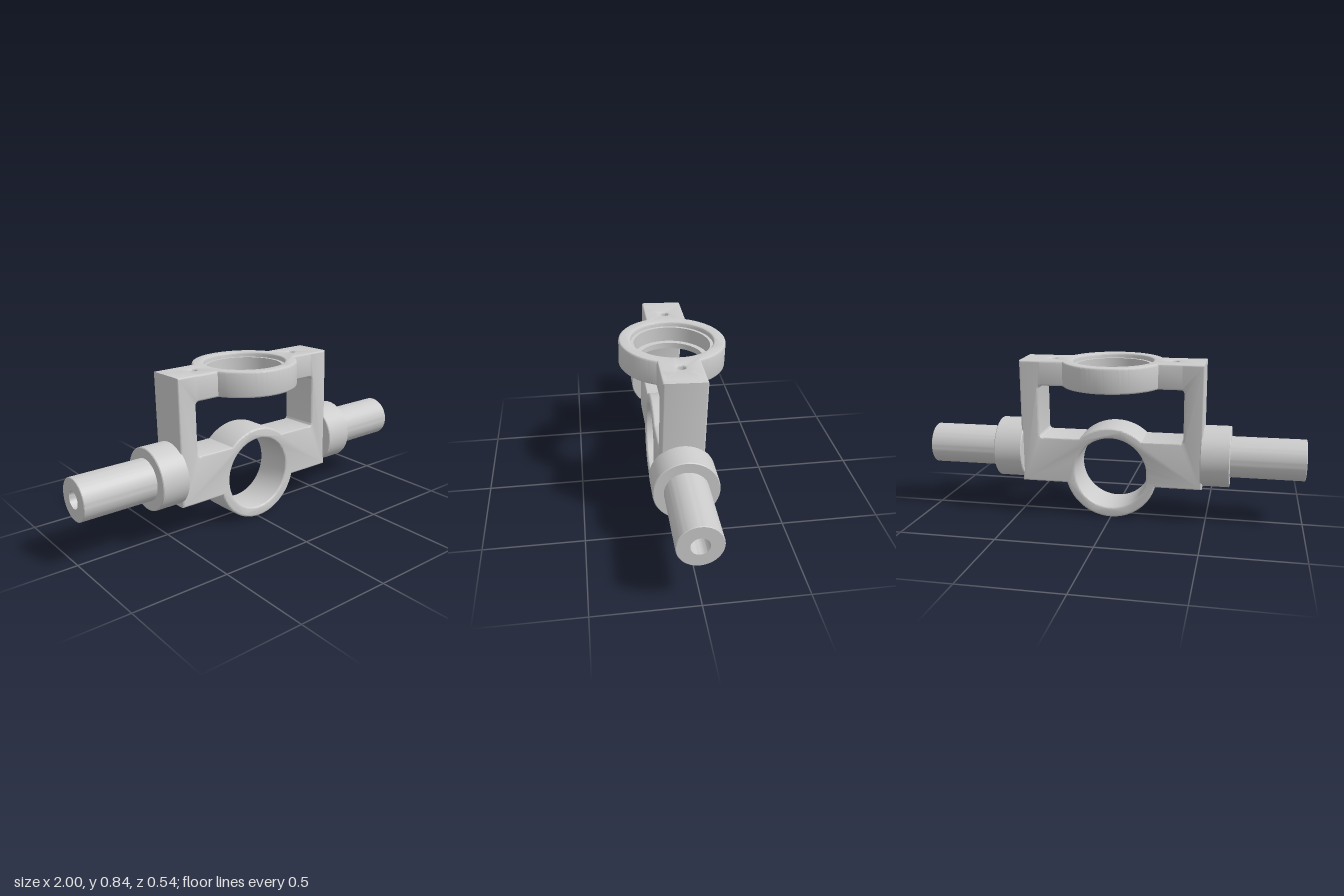
import * as THREE from 'three';
import { toCreasedNormals } from 'three/addons/utils/BufferGeometryUtils.js';

const BEVEL = 0.01;
const TOP = 0.494, BAR_BOTTOM = 0.363;   // heights are measured from the shaft axis
const HALF_DEPTH = 0.106;

export function createModel() {
  const model = new THREE.Group();
  model.name = 'trunnionYoke';
  const body = new THREE.Group();
  body.name = 'body';
  body.position.set(0, 0.345, 0.015);
  body.rotation.x = -0.03;               // the whole yoke leans slightly back
  model.add(body);

  const material = new THREE.MeshStandardMaterial({ color: 0xcccccc });
  const add = (name, geometry) => {
    const mesh = new THREE.Mesh(toCreasedNormals(geometry, 0.6), material);
    mesh.name = name;
    body.add(mesh);
    return mesh;
  };
  const circle = (x, y, r) => new THREE.Path().absarc(x, y, r, 0, Math.PI * 2, true);
  const lathe = (points) =>
    new THREE.LatheGeometry(points.map(([r, y]) => new THREE.Vector2(r, y)), 72);
  // Extrusion with softened edges, centred on its depth
  const slab = (shape, depth) => new THREE.ExtrudeGeometry(shape, {
    depth: depth - 2 * BEVEL, bevelThickness: BEVEL, bevelSize: BEVEL,
    bevelOffset: 0, bevelSegments: 3, curveSegments: 48,
    ...{ bevelOffset: -BEVEL },
  }).translate(0, 0, BEVEL - depth / 2);

  // Lower bar with its ring, and the two uprights
  const cy = -0.095, R = 0.245, low = -0.16, high = 0.085;
  const aLow = Math.asin((cy - low) / R), aHigh = Math.asin((high - cy) / R);
  const frame = new THREE.Shape();
  frame.moveTo(0.48, low);
  frame.lineTo(0.48, TOP);
  frame.lineTo(0.36, TOP);
  frame.lineTo(0.36, BAR_BOTTOM);
  frame.quadraticCurveTo(0.38, BAR_BOTTOM, 0.38, BAR_BOTTOM - 0.02);
  frame.lineTo(0.38, high + 0.02);
  frame.quadraticCurveTo(0.38, high, 0.36, high);
  frame.absarc(0, cy, R, aHigh, Math.PI - aHigh, false);
  frame.lineTo(-0.36, high);
  frame.quadraticCurveTo(-0.38, high, -0.38, high + 0.02);
  frame.lineTo(-0.38, BAR_BOTTOM - 0.02);
  frame.quadraticCurveTo(-0.38, BAR_BOTTOM, -0.36, BAR_BOTTOM);
  frame.lineTo(-0.36, TOP);
  frame.lineTo(-0.48, TOP);
  frame.lineTo(-0.48, low);
  frame.absarc(0, cy, R, Math.PI + aLow, Math.PI * 2 - aLow, false);
  frame.holes.push(circle(0, cy, 0.19));
  add('lowerFrame', slab(frame, HALF_DEPTH * 2));

  // Crossbar with the bearing ring and two screw holes
  const ringR = 0.27, a = Math.asin(HALF_DEPTH / ringR);
  const bar = new THREE.Shape();
  bar.moveTo(0.46, -HALF_DEPTH);
  bar.lineTo(0.46, HALF_DEPTH);
  bar.absarc(0, 0, ringR, a, Math.PI - a, false);
  bar.lineTo(-0.46, HALF_DEPTH);
  bar.lineTo(-0.46, -HALF_DEPTH);
  bar.absarc(0, 0, ringR, Math.PI + a, Math.PI * 2 - a, false);
  bar.holes.push(circle(0, 0, 0.209), circle(0.32, 0, 0.02), circle(-0.32, 0, 0.02));
  add('crossbar', slab(bar, TOP - BAR_BOTTOM)
    .rotateX(-Math.PI / 2).translate(0, (TOP + BAR_BOTTOM) / 2, 0));

  // Stepped seat inside the bearing ring
  add('bearingSeat', lathe([
    [0.225, BAR_BOTTOM], [0.225, BAR_BOTTOM + 0.02], [0.225, TOP - 0.025],
    [0.193, TOP - 0.025], [0.193, BAR_BOTTOM + 0.03], [0.165, BAR_BOTTOM + 0.03],
    [0.165, BAR_BOTTOM], [0.225, BAR_BOTTOM],
  ]));

  // Collared shafts with a drilled centre, one per side
  for (const side of [1, -1]) {
    const shaft = add(side > 0 ? 'leftShaft' : 'rightShaft', lathe([
      [0, 0.47], [0.156, 0.47], [0.16, 0.474], [0.16, 0.616], [0.156, 0.62],
      [0.107, 0.62], [0.107, 0.997], [0.104, 1], [0.044, 1], [0.044, 0.82], [0, 0.795],
    ]));
    shaft.rotation.z = -side * Math.PI / 2;
  }
  return model;
}
